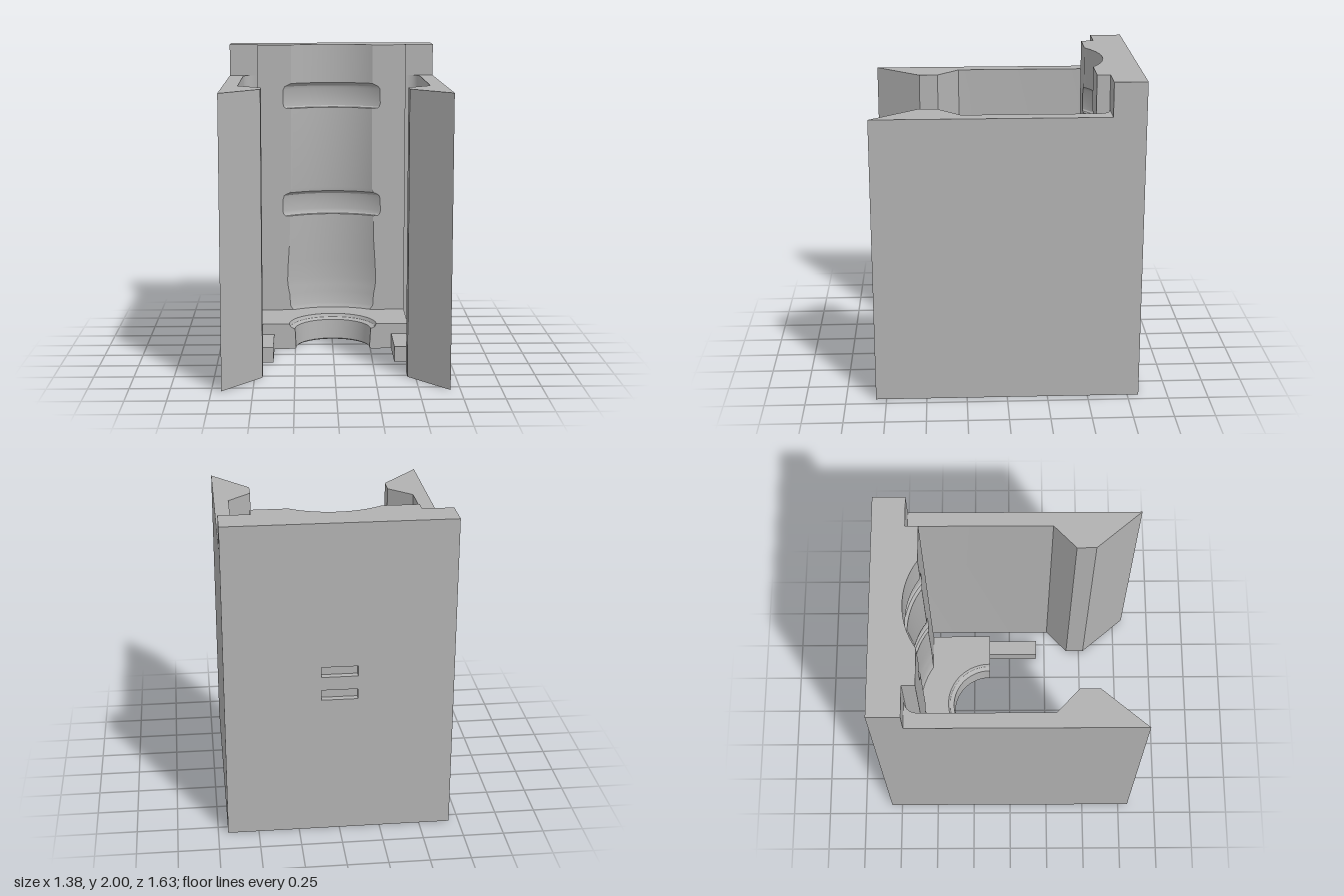
import * as THREE from 'three';
import { toCreasedNormals } from 'three/addons/utils/BufferGeometryUtils.js';

const AXIS = 0.14; // the round channel's axis lies at z = -0.14
const BACK = 0.67; // depth where the channel blocks meet the back core

// Plan outline (x, -z) of a block with a round channel of half-opening c in its front face
function section(c, front) {
  const r = Math.hypot(c, front - AXIS);
  const T = Math.acos((front - AXIS) / r);
  const pts = [[-0.5, BACK], [-0.5, front]];
  const n = 40;
  for (let i = 0; i <= n; i++) {
    const t = -T + (2 * T * i) / n;
    pts.push([r * Math.sin(t), AXIS + r * Math.cos(t)]);
  }
  pts.push([0.5, front], [0.5, BACK]);
  return pts.map(([x, y]) => new THREE.Vector2(x, y));
}

// Stack sections along a [half-opening, height] profile and cap both ends
function channelBlock(profile, front) {
  const pos = [];
  const put = (p, y) => pos.push(p.x, y, -p.y);
  const rows = profile.map(([c, y]) => ({ pts: section(c, front), y }));
  for (let k = 0; k < rows.length - 1; k++) {
    const lo = rows[k], hi = rows[k + 1], n = lo.pts.length;
    for (let i = 0; i < n; i++) {
      const j = (i + 1) % n;
      put(lo.pts[i], lo.y); put(lo.pts[j], lo.y); put(hi.pts[j], hi.y);
      put(lo.pts[i], lo.y); put(hi.pts[j], hi.y); put(hi.pts[i], hi.y);
    }
  }
  const cap = (row, up) => {
    for (const [a, b, c] of THREE.ShapeUtils.triangulateShape(row.pts, [])) {
      for (const i of up ? [a, b, c] : [a, c, b]) put(row.pts[i], row.y);
    }
  };
  cap(rows[0], false);
  cap(rows[rows.length - 1], true);
  const g = new THREE.BufferGeometry();
  g.setAttribute('position', new THREE.Float32BufferAttribute(pos, 3));
  return toCreasedNormals(g, 0.5);
}

export function createModel() {
  const group = new THREE.Group();
  const grey = new THREE.MeshStandardMaterial({ color: 0xb2b2b2 });
  grey.name = 'grey';

  const add = (name, geometry) => {
    const mesh = new THREE.Mesh(geometry, grey);
    mesh.name = name;
    group.add(mesh);
  };
  const box = (name, x0, x1, y0, y1, z0, z1) => {
    const g = new THREE.BoxGeometry(Math.abs(x1 - x0), y1 - y0, z1 - z0);
    add(name, g.translate((x0 + x1) / 2, (y0 + y1) / 2, (z0 + z1) / 2));
  };
  const rect = (T, x0, x1, y0, y1) => {
    const s = new T();
    s.moveTo(x0, y0); s.lineTo(x1, y0); s.lineTo(x1, y1); s.lineTo(x0, y1);
    s.closePath();
    return s;
  };

  // Back panel with two shallow slots, closed by the core behind it
  const panel = rect(THREE.Shape, -0.69, 0.69, 0, 2);
  for (const y of [0.885, 1.035]) panel.holes.push(rect(THREE.Path, -0.11, 0.11, y, y + 0.065));
  add('slottedBackPanel', new THREE.ExtrudeGeometry(panel, { depth: 0.04, bevelEnabled: false }).translate(0, 0, -0.82));
  box('backCore', -0.69, 0.69, 0, 2, -0.78, -BACK);

  // Cradle with two ring grooves and a slightly bulging lower part
  add('cradle', channelBlock([
    [0.265, 0.17], [0.275, 0.185], [0.285, 0.2], [0.29, 0.28], [0.3, 0.33], [0.305, 0.38],
    [0.3, 0.5], [0.29, 0.65], [0.285, 0.83],
    [0.315, 0.832], [0.328, 0.842], [0.335, 0.865], [0.332, 0.95], [0.325, 0.972], [0.305, 0.985],
    [0.285, 0.992], [0.277, 1.02], [0.275, 1.57],
    [0.31, 1.572], [0.324, 1.582], [0.33, 1.605], [0.328, 1.7], [0.318, 1.718], [0.275, 1.74],
    [0.275, 2],
  ], 0.54));

  // Bottom shelf with a flared half-round opening
  add('shelf', channelBlock([
    [0.255, 0], [0.245, 0.008], [0.252, 0.137], [0.262, 0.14], [0.28, 0.15], [0.29, 0.17],
  ], AXIS));

  for (const s of [-1, 1]) {
    const side = s > 0 ? 'left' : 'right';

    // Side wall with filleted root and hooked clip at the front
    const plan = new THREE.Shape();
    plan.moveTo(s * 0.69, BACK);
    plan.lineTo(s * 0.69, -0.815);
    plan.lineTo(s * 0.45, -0.53);
    plan.lineTo(s * 0.45, -0.41);
    plan.lineTo(s * 0.597, -0.27);
    plan.lineTo(s * 0.597, 0.54);
    plan.quadraticCurveTo(s * 0.59, 0.613, s * 0.52, 0.62);
    plan.lineTo(s * 0.5, 0.62);
    plan.lineTo(s * 0.5, BACK);
    plan.closePath();
    const wall = new THREE.ExtrudeGeometry(plan, { depth: 1.79, bevelEnabled: false, curveSegments: 8 });
    add(side + 'ClipWall', toCreasedNormals(wall.rotateX(-Math.PI / 2), 0.5));

    // Raised corner above the wall, and the small support arm on the shelf
    box(side + 'TopCorner', s * 0.5, s * 0.69, 1.79, 2, -BACK, -0.62);
    box(side + 'SupportArm', s * 0.39, s * 0.49, 0, 0.1, -AXIS, 0.19);
  }
  return group;
}
